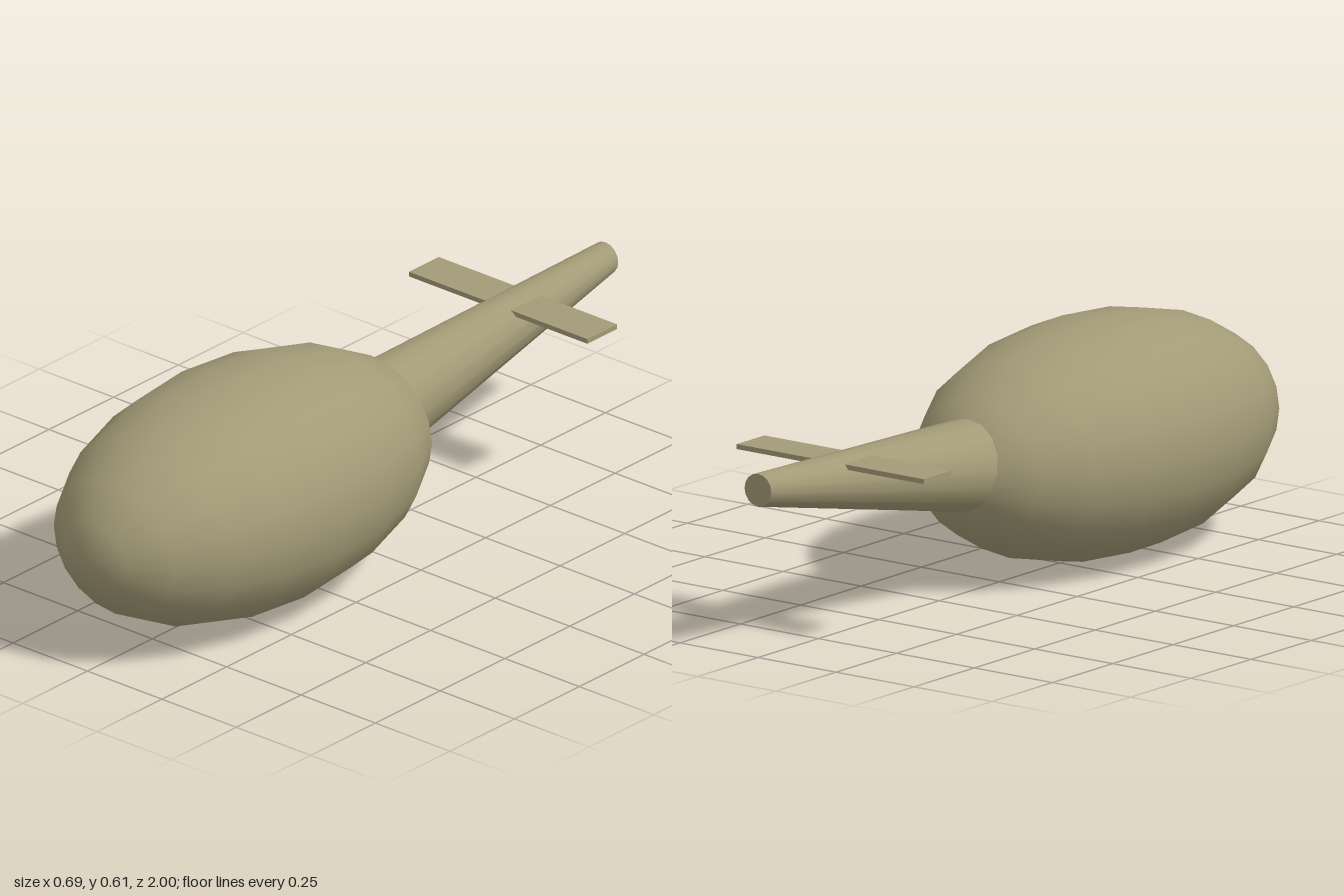
import * as THREE from 'three';
import { mergeVertices, toCreasedNormals } from 'three/addons/utils/BufferGeometryUtils.js';

const olive = new THREE.MeshStandardMaterial({ name: 'olive drab', color: 0xa39a76 });

// Ellipsoid hull, slightly fuller between its axes than a true ellipsoid
function hullGeometry(rx, ry, rz) {
  let geo = new THREE.SphereGeometry(1, 20, 10).rotateX(Math.PI / 2);
  const p = geo.attributes.position;
  for (let i = 0; i < p.count; i++) {
    const x = p.getX(i), y = p.getY(i), z = p.getZ(i);
    const f = 1 + 0.04 * (1 - x ** 4 - y ** 4 - z ** 4);
    p.setXYZ(i, x * f * rx, y * f * ry, z * f * rz);
  }
  geo.deleteAttribute('uv');
  geo.deleteAttribute('normal');
  geo = mergeVertices(geo, 1e-4);
  geo.computeVertexNormals();
  return geo;
}

// Tapered boom with upright ends whose centre line rises towards the rear
function boomGeometry(front, rear) {
  const length = front.z - rear.z;
  const geo = new THREE.CylinderGeometry(front.r, rear.r, length, 16).rotateX(Math.PI / 2);
  const p = geo.attributes.position;
  for (let i = 0; i < p.count; i++) {
    const t = 0.5 - p.getZ(i) / length;
    p.setY(i, p.getY(i) + THREE.MathUtils.lerp(front.y, rear.y, t));
  }
  geo.translate(0, 0, (front.z + rear.z) / 2);
  return toCreasedNormals(geo, 0.8);
}

export function createModel() {
  const model = new THREE.Group();
  model.name = 'helicopterFuselage';
  const add = (name, geo, x, y, z) => {
    const mesh = new THREE.Mesh(geo, olive);
    mesh.name = name;
    mesh.position.set(x, y, z);
    model.add(mesh);
  };

  add('cabin', hullGeometry(0.343, 0.307, 0.6), 0, 0.31, 0.4);
  add('tailBoom', boomGeometry({ z: -0.05, y: 0.323, r: 0.129 }, { z: -1, y: 0.44, r: 0.043 }), 0, 0, 0);

  // Horizontal stabilizers, one each side of the boom
  for (const [name, side] of [['leftStabilizer', 1], ['rightStabilizer', -1]]) {
    add(name, new THREE.BoxGeometry(0.28, 0.013, 0.115), side * 0.16, 0.449, -0.643);
  }
  return model;
}
